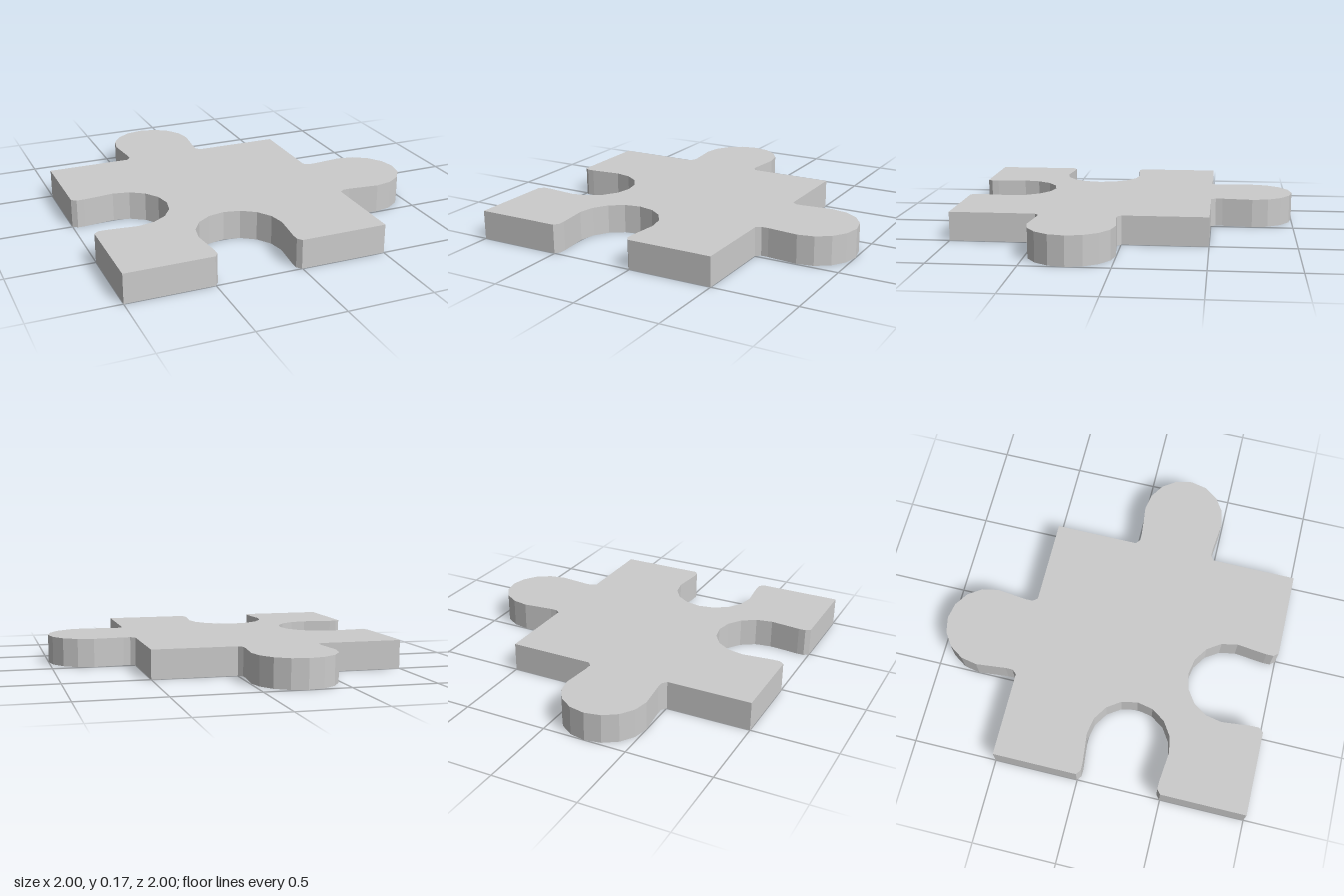
import * as THREE from 'three';

const HEIGHT = 0.17;

// Knob outline as [across, outward] points, from one side of the neck to the other
function knobProfile() {
  const neck = [[0.249, 0], [0.227, 0.028], [0.227, 0.07]];
  const points = neck.map(([u, v]) => [-u, v]);
  const steps = 8;
  for (let i = 0; i <= steps; i++) {
    const a = Math.PI * (1 - i / steps);
    points.push([0.246 * Math.cos(a), 0.25 + 0.25 * Math.sin(a)]);
  }
  return points.concat(neck.reverse());
}

export function createModel() {
  const group = new THREE.Group();
  group.name = 'puzzlePiece';

  const knob = knobProfile();
  const knobBack = [...knob].reverse();
  const cx = -0.253, cy = -0.247;

  // Square body outline, walked counter-clockwise: sockets and knobs share one profile
  const outline = [
    [-1, -1],
    ...knob.map(([u, v]) => [cx + u, -1 + v]),         // front socket
    [0.5, -1],
    ...knob.map(([u, v]) => [0.5 + v, cy + u]),        // left knob
    [0.5, 0.5],
    ...knobBack.map(([u, v]) => [cx + u, 0.5 + v]),    // back knob
    [-1, 0.5],
    ...knobBack.map(([u, v]) => [-1 + v, cy + u]),     // right socket
  ];
  const shape = new THREE.Shape(outline.map(([x, y]) => new THREE.Vector2(x, y)));

  // Lay the extruded slab flat on the ground
  const geometry = new THREE.ExtrudeGeometry(shape, { depth: HEIGHT, bevelEnabled: false });
  geometry.rotateX(-Math.PI / 2);

  const slab = new THREE.Mesh(
    geometry,
    new THREE.MeshStandardMaterial({ color: 0xcccccc, flatShading: true })
  );
  slab.name = 'slab';
  group.add(slab);
  return group;
}
